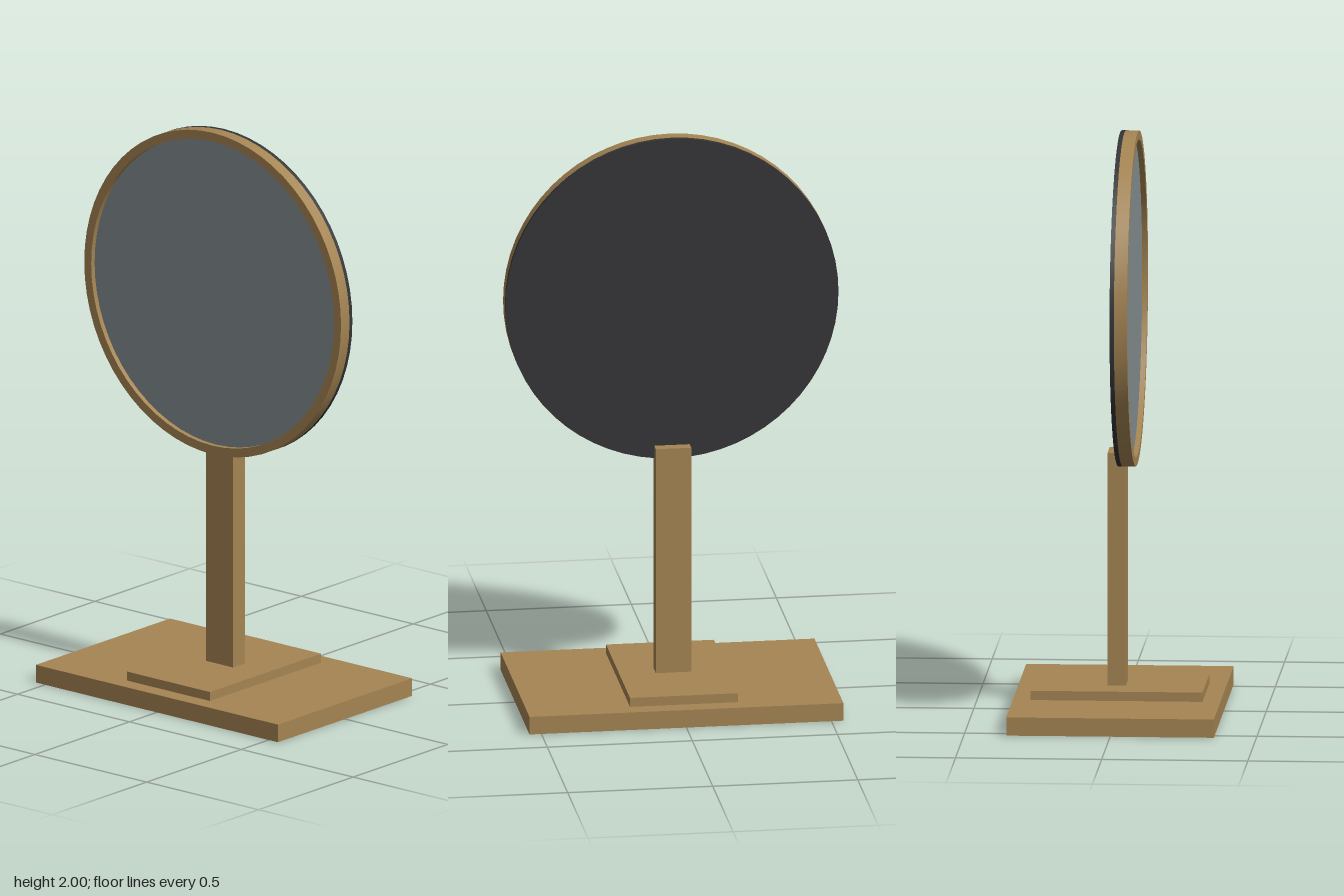
import * as THREE from 'three';
import { toCreasedNormals } from 'three/addons/utils/BufferGeometryUtils.js';

export function createModel() {
  const model = new THREE.Group();
  model.name = 'tableMirror';

  const material = (name, color) => {
    const m = new THREE.MeshStandardMaterial({ color });
    m.name = name;
    return m;
  };
  const wood = material('wood', 0xa58553);
  const glass = material('mirrorGlass', 0x858e91);
  const dark = material('darkBacking', 0x343537);

  const add = (name, geometry, mat, x, y, z) => {
    const mesh = new THREE.Mesh(geometry, mat);
    mesh.name = name;
    mesh.position.set(x, y, z);
    model.add(mesh);
  };
  // Box given by its width, y range and z range
  const box = (name, width, y0, y1, z0, z1) =>
    add(name, new THREE.BoxGeometry(width, y1 - y0, z1 - z0), wood, 0, (y0 + y1) / 2, (z0 + z1) / 2);
  // Disc facing +z, given by its z range
  const disc = (name, radius, mat, z0, z1) =>
    add(name, new THREE.CylinderGeometry(radius, radius, z1 - z0, 64).rotateX(Math.PI / 2), mat, 0, centreY, (z0 + z1) / 2);

  const radius = 0.574, innerRadius = 0.543, centreY = 2 - radius;

  // Stepped base and post
  box('base', 1.082, 0, 0.063, -0.355, 0.355);
  box('baseStep', 0.372, 0.063, 0.095, -0.294, 0.294);
  box('post', 0.122, 0.095, 0.9, -0.039, 0.024);

  // Round frame with a recessed mirror and a dark back
  const ring = new THREE.Shape().absarc(0, 0, radius, 0, Math.PI * 2);
  ring.holes.push(new THREE.Path().absarc(0, 0, innerRadius, 0, Math.PI * 2, true));
  const frame = new THREE.ExtrudeGeometry(ring, { depth: 0.045, bevelEnabled: false, curveSegments: 32 });
  add('frame', toCreasedNormals(frame, 0.5), wood, 0, centreY, 0.015);
  disc('backing', radius, dark, 0, 0.015);
  disc('mirror', innerRadius, glass, 0.015, 0.042);

  return model;
}
